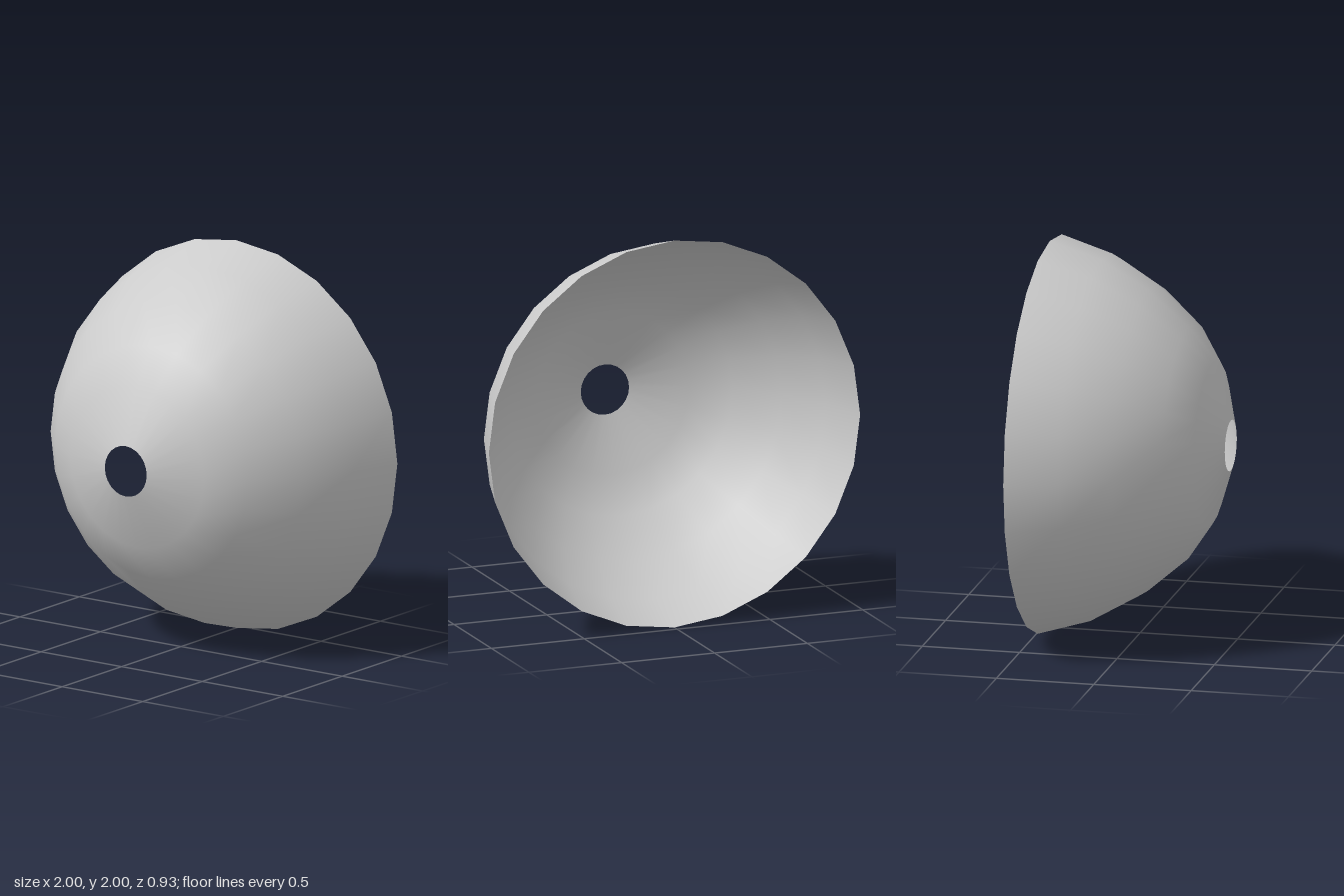
import * as THREE from 'three';

export function createModel() {
  const model = new THREE.Group();

  // Profile from the open rim to the hole: radius, depth along the axis
  const profile = [
    [1, -0.465], [0.92, -0.2], [0.78, 0.04],
    [0.6, 0.247], [0.415, 0.37], [0.13, 0.465],
  ].map(([r, d]) => new THREE.Vector2(r, d));

  // Thin open bowl, 24 sides, turned so the hole faces the front
  const geometry = new THREE.LatheGeometry(profile, 24);
  geometry.rotateX(Math.PI / 2);
  geometry.translate(0, 1, 0);

  const bowl = new THREE.Mesh(
    geometry,
    new THREE.MeshStandardMaterial({ color: 0xcccccc, side: THREE.DoubleSide })
  );
  bowl.name = 'bowlShell';
  model.add(bowl);
  return model;
}
